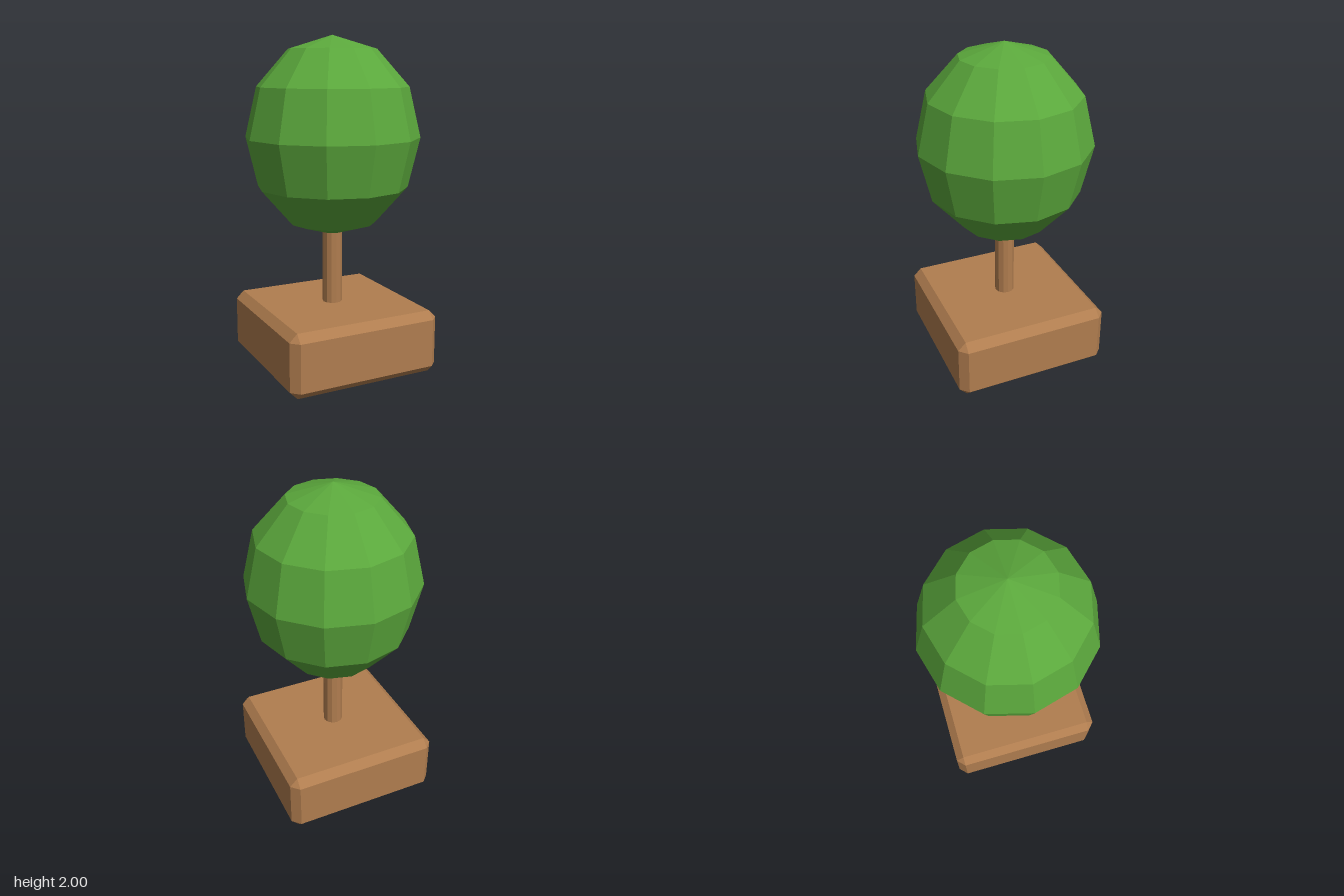
import * as THREE from 'three';
import { ConvexGeometry } from 'three/addons/geometries/ConvexGeometry.js';

// Box with every edge cut by a flat chamfer, corners closed by triangles
function chamferedBox(w, h, d, c) {
  const points = [];
  const half = [w / 2, h / 2, d / 2];
  for (const sx of [-1, 1]) for (const sy of [-1, 1]) for (const sz of [-1, 1]) {
    for (let outer = 0; outer < 3; outer++) {
      const [x, y, z] = half.map((v, i) => (i === outer ? v : v - c));
      points.push(new THREE.Vector3(sx * x, sy * y, sz * z));
    }
  }
  return new ConvexGeometry(points);
}

export function createModel() {
  const group = new THREE.Group();
  group.name = 'pottedTree';
  const wood = new THREE.MeshStandardMaterial({ color: 0xb07d4f, flatShading: true });
  const leaf = new THREE.MeshStandardMaterial({ color: 0x5ba83c, flatShading: true });

  const add = (name, geometry, material, y) => {
    const mesh = new THREE.Mesh(geometry, material);
    mesh.name = name;
    mesh.position.y = y;
    group.add(mesh);
    return mesh;
  };

  // Square planter
  add('planter', chamferedBox(0.956, 0.384, 0.956, 0.047), wood, 0.192);

  // Trunk, running up into the crown
  add('trunk', new THREE.CylinderGeometry(0.06, 0.06, 0.6, 12), wood, 0.6);

  // Faceted crown, slightly taller than wide
  const crown = add('crown', new THREE.SphereGeometry(0.525, 12, 6), leaf, 1.404);
  crown.scale.y = 0.596 / 0.525;

  return group;
}
